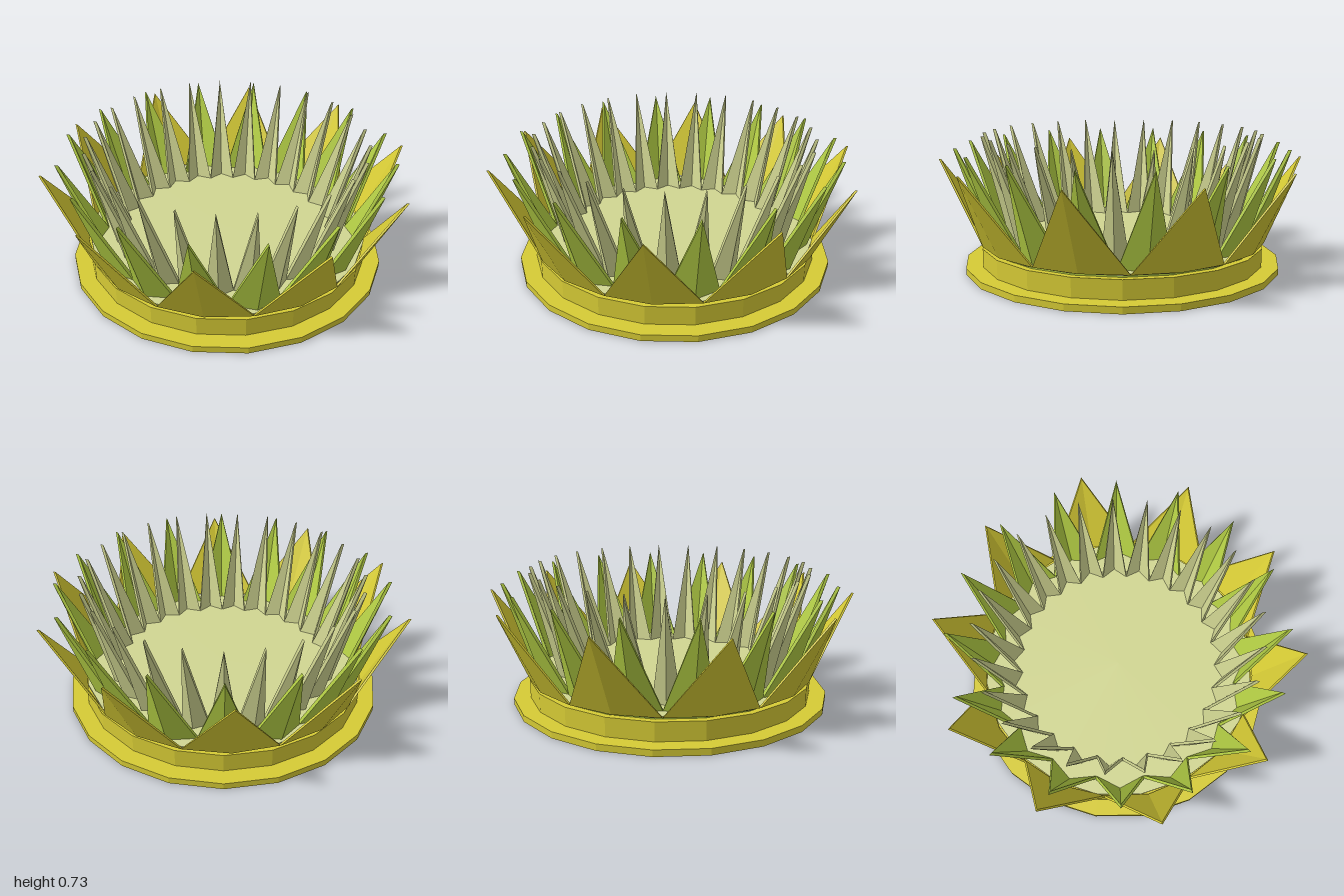
import * as THREE from 'three';

const yellow = new THREE.MeshStandardMaterial({ color: 0xd6cb35 });
const green = new THREE.MeshStandardMaterial({ color: 0xb4cf45 });
const pale = new THREE.MeshStandardMaterial({ color: 0xd1d692 });
yellow.name = 'yellow';
green.name = 'green';
pale.name = 'pale green';
for (const m of [yellow, green, pale]) m.flatShading = true;

const SPIN = 0.04; // shared turn of the base discs

// point at an angle from the front, a radius and a height
const polar = (a, r, y) => [r * Math.sin(a), y, r * Math.cos(a)];

// one folded pointed petal with thickness, facing +z
function petalGeometry({ count, edge, center, tip, bottom, top, thick }) {
  const half = Math.PI / count;
  const shell = (t) => [
    polar(-half, edge - t, bottom),
    polar(0, center - t, bottom),
    polar(half, edge - t, bottom),
    polar(0, tip - t, top),
  ];
  const [oL, oC, oR, oT] = shell(0);
  const [iL, iC, iR, iT] = shell(thick);
  const quad = (a, b, c, d) => [a, b, c, a, c, d];
  const corners = [
    oL, oC, oT, oC, oR, oT,       // outside
    iC, iL, iT, iR, iC, iT,       // inside
    ...quad(oL, oT, iT, iL),      // left rim
    ...quad(oT, oR, iR, iT),      // right rim
    ...quad(oL, iL, iC, oC),      // underside
    ...quad(oC, iC, iR, oR),
  ];
  const g = new THREE.BufferGeometry();
  g.setAttribute('position', new THREE.Float32BufferAttribute(corners.flat(), 3));
  g.computeVertexNormals();
  return g;
}

function petalRing(name, material, spec) {
  const ring = new THREE.Group();
  ring.name = name;
  const geometry = petalGeometry(spec);
  for (let i = 0; i < spec.count; i++) {
    const petal = new THREE.Mesh(geometry, material);
    petal.name = 'petal';
    petal.rotation.y = spec.turn + (i * 2 * Math.PI) / spec.count;
    ring.add(petal);
  }
  return ring;
}

function disc(name, material, radius, y0, y1) {
  const mesh = new THREE.Mesh(new THREE.CylinderGeometry(radius, radius, y1 - y0, 20), material);
  mesh.name = name;
  mesh.position.y = (y0 + y1) / 2;
  mesh.rotation.y = SPIN;
  return mesh;
}

export function createModel() {
  const model = new THREE.Group();
  model.name = 'petalBowl';

  // stepped base and floor
  model.add(
    disc('basePlate', yellow, 0.87, 0, 0.035),
    disc('baseDrum', yellow, 0.78, 0.035, 0.135),
    disc('greenCollar', green, 0.745, 0.135, 0.15),
    disc('bowlFloor', pale, 0.77, 0.15, 0.157),
  );

  // three rings of petals, each higher and denser towards the middle
  model.add(
    petalRing('outerPetals', yellow, {
      count: 10, edge: 0.785, center: 0.79, tip: 1.0, bottom: 0.157, top: 0.59, thick: 0.012, turn: 0.09,
    }),
    petalRing('middlePetals', green, {
      count: 16, edge: 0.69, center: 0.745, tip: 0.91, bottom: 0.155, top: 0.66, thick: 0.018, turn: 0.045,
    }),
    petalRing('innerPetals', pale, {
      count: 25, edge: 0.575, center: 0.625, tip: 0.765, bottom: 0.155, top: 0.73, thick: 0.018, turn: -0.084,
    }),
  );
  return model;
}
